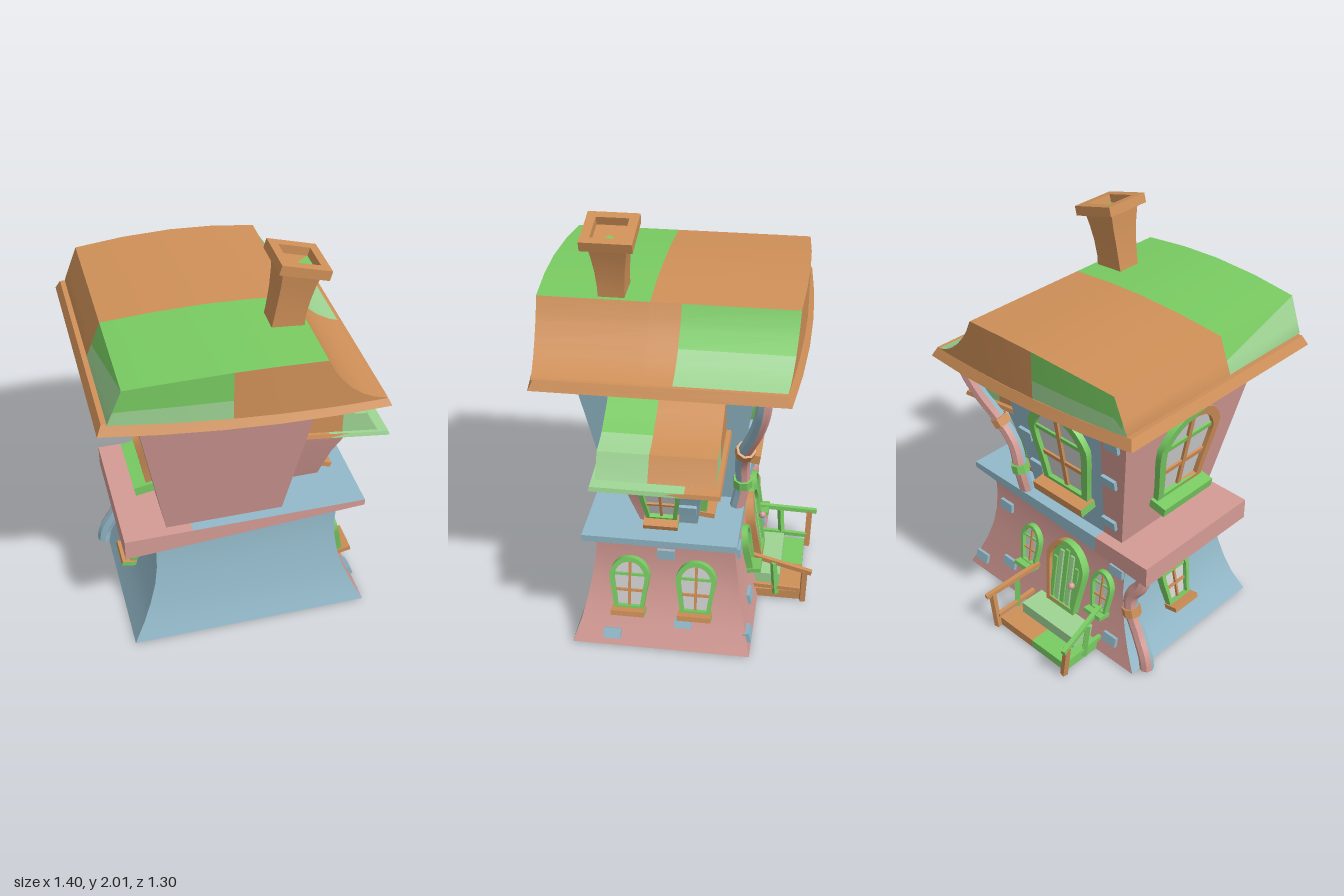
import * as THREE from 'three';
import { toCreasedNormals } from 'three/addons/utils/BufferGeometryUtils.js';

const mat = (name, color) => Object.assign(new THREE.MeshStandardMaterial({ color }), { name });
const PINK = 0, BLUE = 1, BROWN = 2, GREEN = 3, LIGHT = 4, GLASS = 5;
const V = (x, y, z) => new THREE.Vector3(x, y, z);

export function createModel() {
  const house = new THREE.Group();
  house.name = 'house';
  const M = [mat('pink plaster', 0xd59b95), mat('blue plaster', 0x93b9c9), mat('brown wood', 0xcf9058),
    mat('green paint', 0x79cb62), mat('light green paint', 0x9ed493), mat('window glass', 0xcfcfcf)];
  M[GLASS].side = THREE.DoubleSide;

  // Mesh whose triangles are coloured by a rule on centre and normal, or by one colour
  function part(name, geo, pick, parent = house) {
    const p = (geo.index ? geo.toNonIndexed() : geo).attributes.position;
    const rule = typeof pick === 'function' ? pick : () => pick;
    const bins = M.map(() => []);
    const t = new THREE.Triangle(), c = V(), n = V();
    for (let i = 0; i < p.count; i += 3) {
      t.setFromAttributeAndIndices(p, i, i + 1, i + 2);
      if (t.getArea() < 1e-9) continue;
      t.getMidpoint(c); t.getNormal(n);
      for (const v of [t.a, t.b, t.c]) bins[rule(c, n)].push(v.x, v.y, v.z);
    }
    const out = new THREE.BufferGeometry();
    out.setAttribute('position', new THREE.Float32BufferAttribute(bins.flat(), 3));
    let start = 0;
    bins.forEach((b, i) => { if (b.length) out.addGroup(start, b.length / 3, i); start += b.length / 3; });
    const used = bins.findIndex(b => b.length === start * 3);
    if (used >= 0) out.clearGroups();
    const mesh = new THREE.Mesh(toCreasedNormals(out, 0.5), used >= 0 ? M[used] : M);
    mesh.name = name;
    parent.add(mesh);
    return mesh;
  }

  // Skin over closed rings of points, with end caps, turned outward
  function loft(rings) {
    const tris = [], n = rings[0].length;
    for (let i = 0; i + 1 < rings.length; i++) for (let j = 0; j < n; j++) {
      const k = (j + 1) % n, a = rings[i], b = rings[i + 1];
      tris.push([a[j], a[k], b[k]], [a[j], b[k], b[j]]);
    }
    [rings[0], rings[rings.length - 1]].forEach((r, end) => {
      const c = r.reduce((s, v) => s.add(v), V(0, 0, 0)).divideScalar(n);
      r.forEach((v, j) => tris.push(end ? [c, v, r[(j + 1) % n]] : [c, r[(j + 1) % n], v]));
    });
    const vol = tris.reduce((s, [a, b, c]) => s + a.dot(b.clone().cross(c)), 0);
    const pts = tris.flatMap(t => (vol < 0 ? [t[0], t[2], t[1]] : t));
    return new THREE.BufferGeometry().setFromPoints(pts);
  }

  // Walls from levels [y, x0, x1, z0, z1]; each side is cut in ten for colour seams
  const walls = levels => loft(levels.map(([y, x0, x1, z0, z1]) => {
    const c = [[x0, z0], [x1, z0], [x1, z1], [x0, z1]], r = [];
    for (let s = 0; s < 4; s++) for (let i = 0; i < 10; i++) {
      const [a, b] = c[s], [d, e] = c[(s + 1) % 4];
      r.push(V(a + (d - a) * i / 10, y, b + (e - b) * i / 10));
    }
    return r;
  }));
  const lower = [[0, -.585, .585, -.38, .465], [.1, -.53, .535, -.355, .43], [.2, -.49, .49, -.335, .405],
    [.3, -.46, .46, -.315, .385], [.4, -.445, .445, -.3, .37], [.5, -.443, .445, -.29, .36], [.585, -.45, .45, -.29, .36]];
  const upper = [[.61, -.385, .175, -.25, .345], [1.42, -.53, .295, -.38, .51]];
  const bay = [[.61, .05, .415, -.11, .15], [.7, .05, .435, -.122, .18], [.8, .05, .462, -.134, .21],
    [.9, .05, .51, -.145, .24], [1.0, .05, .555, -.155, .265]];
  part('groundFloorWalls', walls(lower), (c, n) => n.y < -.9 ? (c.x < -.3 ? BLUE : PINK)
    : n.z > .7 || n.x < -.7 ? BLUE : PINK);
  part('upperFloorWalls', walls(upper), (c, n) => n.x > .7 ? BLUE
    : n.z < -.7 && c.x > -.53 + .3 * .82 - .2 * (1.42 - c.y) * .1 - .02 ? BLUE : PINK);
  part('bayWalls', walls(bay), (c, n) => n.z < -.7 || (n.x > .5 && c.z < -.02) ? BLUE : PINK);

  // Wedge ledge between the floors
  const ledge = new THREE.BoxGeometry(2, 1, 1, 2);
  const lp = ledge.attributes.position;
  for (let i = 0; i < lp.count; i++) {
    const x = [-.595, -.27, .578][Math.round(lp.getX(i)) + 1];
    lp.setXYZ(i, x, lp.getY(i) > 0 ? .622 : .515 + .075 * (x + .595) / 1.173, lp.getZ(i) > 0 ? .4 : -.31);
  }
  part('floorLedge', ledge, (c, n) => n.x > .5 || (c.x > -.27 && (n.y > .5 || n.z < -.5)) ? BLUE : PINK);

  // Roof body: sections along x with a sloping foot line, seams at fractions ts of the depth
  const roof = (tops, [xa, ya, xb, yb], zc, half, ts) => loft(tops.map(([x, yt]) => {
    const y0 = ya + (yb - ya) * (x - xa) / (xb - xa), ym = y0 + .4 * (yt - y0), z = t => zc + t * half(x);
    return [V(x, y0, z(-1)), V(x, ym, z(-1)), ...[-1, ...ts, 1].map(t => V(x, yt, z(t))), V(x, ym, z(1)), V(x, y0, z(1))];
  }));
  const eave = ([xa, ya, xb, yb], thick, inset, zc, half, ts) => loft([0, .2, .4, .6, .8, 1].map(f => {
    const x = xa + (xb - xa) * f, y = ya + (yb - ya) * f, xt = x + inset * (1 - 2 * f), h = half(x);
    return [...[-1, ...ts, 1].map(t => V(x, y, zc + t * h)),
      ...[1, ...[...ts].reverse(), -1].map(t => V(xt, y + thick, zc + t * (h - Math.abs(inset))))];
  }));
  const depth = x => .595 - .1 * (x + .14) ** 2;
  const mainTops = [[-.66, 1.497], [-.637, 1.555], [-.595, 1.66], [-.37, 1.675], [-.14, 1.68], [.06, 1.673],
    [.265, 1.655], [.295, 1.595], [.325, 1.55], [.375, 1.492], [.43, 1.445], [.49, 1.41], [.55, 1.39]];
  part('mainRoof', roof(mainTops, [-.66, 1.495, .55, 1.385], .045, depth, [-.11, .13]), (c, n) => {
    if (Math.abs(n.z) > .7) return c.x > -.14 ? BROWN : c.y < 1.56 ? LIGHT : GREEN;
    if (c.x > .265) return c.z < -.02 ? (c.y < 1.5 ? LIGHT : GREEN) : BROWN;
    return c.z > .12 ? (c.x < -.62 ? LIGHT : GREEN) : BROWN;
  });
  part('mainEave', eave([-.705, 1.45, .573, 1.348], .046, .022, .04, x => depth(x) + .02, [-.65]),
    (c, n) => n.y < -.7 && c.z < -.35 ? GREEN : BROWN);
  const bayTops = [[.2, 1.26], [.265, 1.24], [.36, 1.172], [.47, 1.11], [.53, 1.09], [.585, 1.08], [.61, 1.03], [.645, .972]];
  part('bayRoof', roof(bayTops, [.2, 1.03, .65, .965], .045, () => .265, [.13]), (c, n) => {
    if (Math.abs(n.z) > .7) return c.x > .47 ? LIGHT : BROWN;
    return c.z < .08 ? BROWN : c.x > .47 ? LIGHT : GREEN;
  });
  part('bayEave', eave([.2, 1.012, .7, .945], .02, .005, .043, () => .288, [-.46]),
    (c, n) => c.z < -.09 || c.x < .45 ? BROWN : LIGHT);

  // Chimney with a tilted open cap
  const shaft = [[.088, 1.62, .243, 1.62, .058], [.105, 1.7, .247, 1.7, .06], [.121, 1.8, .262, 1.78, .066],
    [.13, 1.88, .28, 1.85, .076], [.133, 1.955, .3, 1.91, .086]];
  part('chimneyShaft', loft(shaft.map(([a, ya, b, yb, h]) =>
    [V(a, ya, .295 - h), V(b, yb, .295 - h), V(b, yb, .295 + h), V(a, ya, .295 + h)])),
  (c, n) => n.y > .8 && c.x > .22 ? GREEN : BROWN);
  const square = (S, w, h) => new S([[-w, -h], [w, -h], [w, h], [-w, h]].map(([x, y]) => new THREE.Vector2(x, y)));
  const capShape = square(THREE.Shape, .113, .115);
  capShape.holes.push(square(THREE.Path, .073, .073));
  const cap = part('chimneyCap', new THREE.ExtrudeGeometry(capShape, { depth: .045, bevelEnabled: false })
    .translate(0, 0, -.0225).rotateX(-Math.PI / 2), BROWN);
  cap.position.set(.222, 1.948, .295);
  cap.rotation.z = -.27;

  // Fix an object on a wall: side 0 front, 1 at +x, 2 back, 3 at -x
  const level = (w, y) => {
    const i = Math.min(Math.max(w.findIndex(l => l[0] > y), 1), w.length - 1), a = w[i - 1], b = w[i];
    return a.map((v, k) => v + (b[k] - v) * (y - a[0]) / (b[0] - a[0]));
  };
  function mount(obj, wall, side, u, y, h) {
    const k = [4, 2, 3, 1][side], s = side < 2 ? 1 : -1, p = level(wall, y)[k], q = level(wall, y + h)[k];
    obj.rotation.set(Math.atan2(s * (q - p), h), [0, 1, 2, -1][side] * Math.PI / 2, 0, 'YXZ');
    obj.position.set(side % 2 ? p : u, y, side % 2 ? u : p);
    house.add(obj);
  }

  // Arched outline, broader towards the top
  function arch(S, w, h, y = 0) {
    const s = new S();
    s.moveTo(-.37 * w, y);
    s.lineTo(.37 * w, y);
    s.bezierCurveTo(.4 * w, y + .3 * h, .5 * w, y + .5 * h, .5 * w, y + .7 * h);
    s.bezierCurveTo(.4 * w, y + .92 * h, .2 * w, y + h, 0, y + h);
    s.bezierCurveTo(-.2 * w, y + h, -.4 * w, y + .92 * h, -.5 * w, y + .7 * h);
    s.bezierCurveTo(-.5 * w, y + .5 * h, -.4 * w, y + .3 * h, -.37 * w, y);
    return s;
  }
  function archFrame(w, h, f, d) {
    const s = arch(THREE.Shape, w, h);
    s.holes.push(arch(THREE.Path, w - 2 * f, h - 2 * f, f));
    return new THREE.ExtrudeGeometry(s, { depth: d, bevelEnabled: false, curveSegments: 6 }).translate(0, 0, -.01);
  }
  const box = (w, h, d, x, y, z) => new THREE.BoxGeometry(w, h, d).translate(x, y, z);
  function addWindow(name, wall, side, u, y, w, h, sill, brownHalf) {
    const g = new THREE.Group(), f = w * .1 + .003, b = w * .06;
    g.name = name;
    part('frame', archFrame(w, h, f, .04), c => (brownHalf && c.x > 0 ? BROWN : GREEN), g);
    part('glass', new THREE.ShapeGeometry(arch(THREE.Shape, w - f, h - f, f / 2), 6).translate(0, 0, .008), GLASS, g);
    part('mullion', box(b, h - 2 * f, .018, 0, h / 2, .012), BROWN, g);
    for (const t of [.36, .66]) part('crossBar', box(w * .8, b, .016, 0, h * t, .011), t < .5 ? BROWN : GREEN, g);
    part('sill', box(w * .84, h * .09, .06 + w * .1, 0, 0, .025 + w * .04), c => (sill === BROWN && c.x > w * .2 ? GREEN : sill), g);
    mount(g, wall, side, u, y, h);
  }
  addWindow('groundWindow', lower, 1, .2, .17, .19, .27, BROWN);
  addWindow('groundWindow', lower, 1, -.115, .17, .19, .27, BROWN);
  addWindow('groundWindow', lower, 3, .02, .17, .19, .27, BROWN);
  addWindow('smallBackWindow', lower, 2, .16, .22, .13, .23, GREEN);
  addWindow('smallBackWindow', lower, 2, -.33, .22, .13, .23, GREEN);
  addWindow('bayWindow', bay, 1, .05, .66, .19, .28, BROWN);
  addWindow('bayBackWindow', bay, 2, .32, .66, .17, .27, BROWN);
  addWindow('largeWindow', upper, 3, .07, .79, .4, .5, GREEN, true);
  addWindow('largeWindow', upper, 2, -.08, .79, .38, .5, BROWN);

  // Plank door with knob
  const door = new THREE.Group();
  door.name = 'door';
  part('doorFrame', archFrame(.25, .38, .024, .05), c => (c.x < -.03 ? BROWN : GREEN), door);
  part('doorPanel', new THREE.ExtrudeGeometry(arch(THREE.Shape, .22, .355, .01), { depth: .02, bevelEnabled: false, curveSegments: 6 }), GREEN, door);
  for (let i = -2; i <= 2; i++) part('plank', box(.024, .32 - .018 * i * i, .012, i * .036, .17 - .009 * i * i, .024), i % 2 ? LIGHT : GREEN, door);
  part('knob', new THREE.SphereGeometry(.018, 10, 8).translate(.07, .17, .05), PINK, door);
  mount(door, lower, 2, -.1, .12, .38);

  // Porch steps and railings
  const half = c => (c.x < -.11 ? GREEN : BROWN);
  for (const x of [-.228, .002]) part('lowerStep', box(.23, .045, .27, x, .0225, -.455), half);
  part('upperStep', box(.36, .06, .2, -.113, .075, -.385), LIGHT);
  function beam(name, a, b, w, color) {
    const m = part(name, new THREE.BoxGeometry(w, w, a.distanceTo(b)), color);
    m.position.copy(a).lerp(b, .5);
    m.lookAt(b);
  }
  for (const [x, out, color] of [[.12, .03, BROWN], [-.35, -.04, GREEN]]) {
    beam('handrail', V(x - out * .5, .245, -.33), V(x + out, .195, -.645), .022, color);
    beam('frontPost', V(x, 0, -.605), V(x + out * .8, .2, -.61), .026, BROWN);
    beam('middlePost', V(x, .03, -.47), V(x + out * .4, .225, -.455), .024, GREEN);
    beam('lowerRail', V(x, .075, -.36), V(x, .065, -.6), .02, color);
  }

  // Bent drainpipes with collars
  function pipe(name, pts, collars) {
    const curve = new THREE.CatmullRomCurve3(pts.map(p => V(...p)));
    part(name, new THREE.TubeGeometry(curve, 28, .035, 8), (c, n) => (n.z > .2 ? BLUE : PINK));
    for (const [t, color] of collars) {
      const m = part('pipeCollar', new THREE.CylinderGeometry(.046, .046, .045, 8), color);
      m.position.copy(curve.getPointAt(t));
      m.quaternion.setFromUnitVectors(V(0, 1, 0), curve.getTangentAt(t));
    }
  }
  pipe('upperDrainpipe', [[.51, 1.39, -.41], [.495, 1.27, -.4], [.44, 1.14, -.37], [.36, 1.0, -.32],
    [.28, .88, -.3], [.245, .75, -.3], [.235, .61, -.275]], [[.52, BROWN], [.82, GREEN]]);
  pipe('lowerDrainpipe', [[-.555, .54, -.27], [-.54, .47, -.28], [-.49, .39, -.29], [-.49, .3, -.29],
    [-.54, .18, -.29], [-.595, .07, -.3], [-.607, 0, -.3]], [[.45, BROWN]]);

  // Scattered bricks: wall, side, position along it, height
  for (const [w, s, u, y] of [[lower, 1, .03, .435], [lower, 1, -.06, .1], [lower, 1, .275, .03],
    [lower, 2, .36, .43], [lower, 2, .5, .05], [lower, 2, .3, .12], [lower, 2, -.42, .08], [lower, 2, -.4, .46],
    [upper, 1, .15, 1.26], [upper, 1, -.31, 1.28], [bay, 1, -.07, .69], [upper, 2, .2, 1.27], [upper, 2, .17, .98],
    [upper, 2, .13, .8], [upper, 2, -.42, 1.22], [upper, 2, -.37, .98], [upper, 2, -.33, .7]]) {
    const g = new THREE.Group();
    g.name = 'brick';
    part('brickBlock', box(.082, .05, .03, 0, .025, .002), BLUE, g);
    mount(g, w, s, u, y, .05);
  }
  return house;
}
